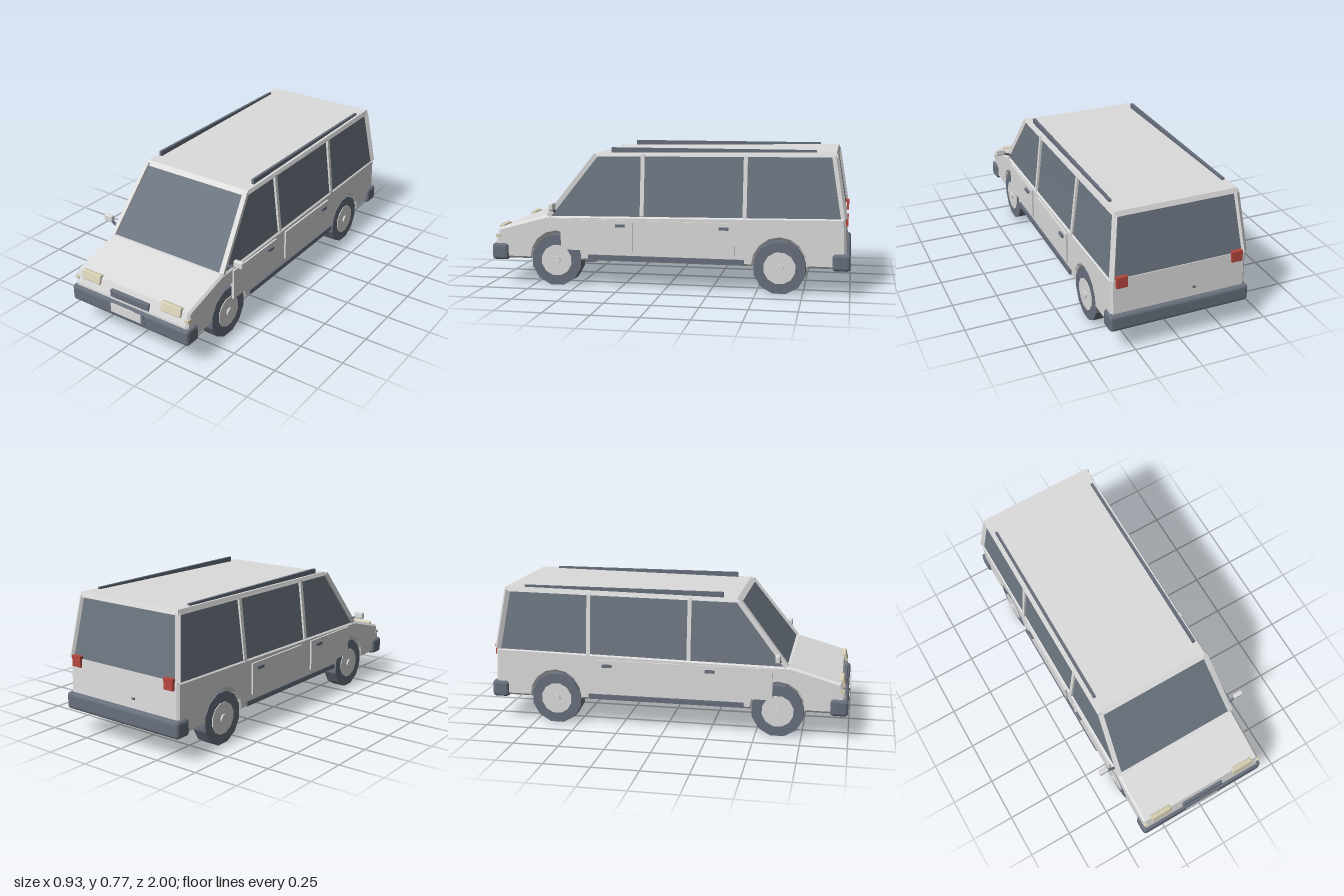
import * as THREE from 'three';
import { RoundedBoxGeometry } from 'three/addons/geometries/RoundedBoxGeometry.js';

const mat = (name, color) => {
  const m = new THREE.MeshStandardMaterial({ color, flatShading: true });
  m.name = name;
  return m;
};

export function createModel() {
  const paint = mat('paint', 0xdcdcdc);
  const glass = mat('glass', 0x6c7580);
  const trim = mat('trim', 0x68707d);
  const lamp = mat('lamp', 0xdad2b8);
  const red = mat('red', 0xb8483f);

  const van = new THREE.Group();
  van.name = 'van';
  const add = (name, geo, material) => {
    const m = new THREE.Mesh(geo, material);
    m.name = name;
    van.add(m);
    return m;
  };
  // Box given by its limits on each axis, optionally rounded
  const box = (name, material, [x0, x1], [y0, y1], [z0, z1], r = 0) => {
    const s = [Math.abs(x1 - x0), y1 - y0, Math.abs(z1 - z0)];
    const geo = r ? new RoundedBoxGeometry(...s, 2, r) : new THREE.BoxGeometry(...s);
    const m = add(name, geo, material);
    m.position.set((x0 + x1) / 2, (y0 + y1) / 2, (z0 + z1) / 2);
    return m;
  };
  // Square bar between two points
  const bar = (name, material, a, b, w, d = w) => {
    const p = new THREE.Vector3(...a), q = new THREE.Vector3(...b);
    const m = add(name, new THREE.BoxGeometry(w, d, p.distanceTo(q)), material);
    m.position.copy(p).add(q).multiplyScalar(0.5);
    m.lookAt(q);
    return m;
  };
  // Tapered block between a lower and an upper rectangle, each given as
  // [half width, y, z] at the front and at the rear
  const taperedBlock = (name, material, lowF, lowR, topF, topR) => {
    const ring = (f, r) => [[-f[0], f[1], f[2]], [f[0], f[1], f[2]], [r[0], r[1], r[2]], [-r[0], r[1], r[2]]];
    const lo = ring(lowF, lowR), hi = ring(topF, topR);
    const pos = [];
    const quad = (a, b, c, d) => pos.push(...a, ...b, ...c, ...a, ...c, ...d);
    for (let i = 0; i < 4; i++) {
      const j = (i + 1) % 4;
      quad(lo[i], lo[j], hi[j], hi[i]);
    }
    quad(...hi);
    quad(lo[3], lo[2], lo[1], lo[0]);
    const geo = new THREE.BufferGeometry();
    geo.setAttribute('position', new THREE.Float32BufferAttribute(pos, 3));
    geo.computeVertexNormals();
    return add(name, geo, material);
  };

  // Lower body: side profile with wheel arches, extruded across the width
  const axles = [0.62, -0.625];
  const outline = [[0.98, 0.145], [0.978, 0.24], [0.955, 0.315], [0.68, 0.392], [-0.97, 0.42], [-0.98, 0.145]];
  for (const z of [...axles].reverse()) {
    for (let i = 0; i <= 8; i++) {
      const a = Math.PI * (1 - i / 8);
      outline.push([z + Math.cos(a) * 0.142, 0.145 + Math.sin(a) * 0.152]);
    }
  }
  const shape = new THREE.Shape(outline.map(([z, y]) => new THREE.Vector2(-z, y)));
  const bevel = 0.012;
  const bodyGeo = new THREE.ExtrudeGeometry(shape, {
    depth: 0.752 - 2 * bevel, bevelThickness: bevel, bevelSize: bevel, bevelOffset: -bevel, bevelSegments: 1,
  });
  bodyGeo.translate(0, 0, -0.376 + bevel).rotateY(Math.PI / 2);
  add('lowerBody', bodyGeo, paint);

  // Cabin glass and roof
  taperedBlock('cabinGlass', glass, [0.367, 0.385, 0.67], [0.37, 0.41, -0.967], [0.327, 0.73, 0.4], [0.327, 0.745, -0.912]);
  taperedBlock('roof', paint, [0.34, 0.724, 0.412], [0.34, 0.738, -0.924], [0.332, 0.744, 0.385], [0.332, 0.764, -0.915]);

  // Bumpers, grille and number plate
  box('frontBumper', trim, [-0.39, 0.39], [0.135, 0.228], [0.9, 0.995], 0.018);
  box('rearBumper', trim, [-0.39, 0.39], [0.135, 0.228], [-1, -0.905], 0.018);
  box('grille', trim, [-0.13, 0.13], [0.24, 0.284], [0.955, 0.982], 0.008);
  box('plateHolder', trim, [-0.112, 0.11], [0.165, 0.216], [0.985, 0.998]);
  box('plate', paint, [-0.112, 0.09], [0.165, 0.216], [0.992, 1]);
  box('tailgateLock', trim, [-0.088, -0.072], [0.276, 0.286], [-0.982, -0.97]);

  for (const s of [1, -1]) {
    const x = (a, b) => [s * a, s * b];

    // Pillars
    bar('frontPillar', paint, [s * 0.364, 0.39, 0.664], [s * 0.326, 0.733, 0.396], 0.026);
    bar('rearPillar', paint, [s * 0.366, 0.415, -0.962], [s * 0.327, 0.745, -0.908], 0.026);
    for (const z of [0.13, -0.435]) {
      bar('middlePillar', paint, [s * 0.367, 0.4, z], [s * 0.329, 0.738, z], 0.022);
    }

    // Roof rail, sill and doors
    box('roofRail', trim, x(0.303, 0.318), [0.742, 0.773], [-0.81, 0.31]);
    box('sill', trim, x(0.36, 0.387), [0.153, 0.18], [-0.435, 0.435]);
    box('frontDoor', paint, x(0.365, 0.386), [0.205, 0.378], [0.18, 0.59]);
    box('rearDoor', paint, x(0.365, 0.386), [0.205, 0.378], [-0.385, 0.085]);
    for (const z of [0.25, -0.325]) {
      box('doorHandle', trim, x(0.38, 0.398), [0.34, 0.356], [z - 0.026, z + 0.026]);
    }

    // Lamps
    const head = box('headlight', lamp, x(0.203, 0.33), [0.275, 0.329], [0.945, 0.972], 0.006);
    head.rotation.x = -0.25;
    box('markerLamp', lamp, x(0.355, 0.379), [0.262, 0.278], [0.945, 0.973]);
    box('tailLight', red, x(0.29, 0.35), [0.375, 0.435], [-0.984, -0.955]);

    // Door mirror
    bar('mirrorArm', trim, [s * 0.362, 0.415, 0.63], [s * 0.425, 0.443, 0.622], 0.012);
    box('mirror', paint, x(0.41, 0.466), [0.432, 0.471], [0.608, 0.634], 0.007);

    // Wheels: tyre, disc and hub
    for (const z of axles) {
      const disc = (name, material, r, x0, x1) => {
        const geo = new THREE.CylinderGeometry(r, r, x1 - x0, 12);
        geo.rotateY(Math.PI / 12).rotateZ(Math.PI / 2);
        add(name, geo, material).position.set(s * (x0 + x1) / 2, 0.14, z);
      };
      disc('tyre', trim, 0.145, 0.29, 0.37);
      disc('wheelDisc', paint, 0.088, 0.34, 0.374);
      disc('wheelHub', paint, 0.022, 0.36, 0.383);
    }
  }
  return van;
}
